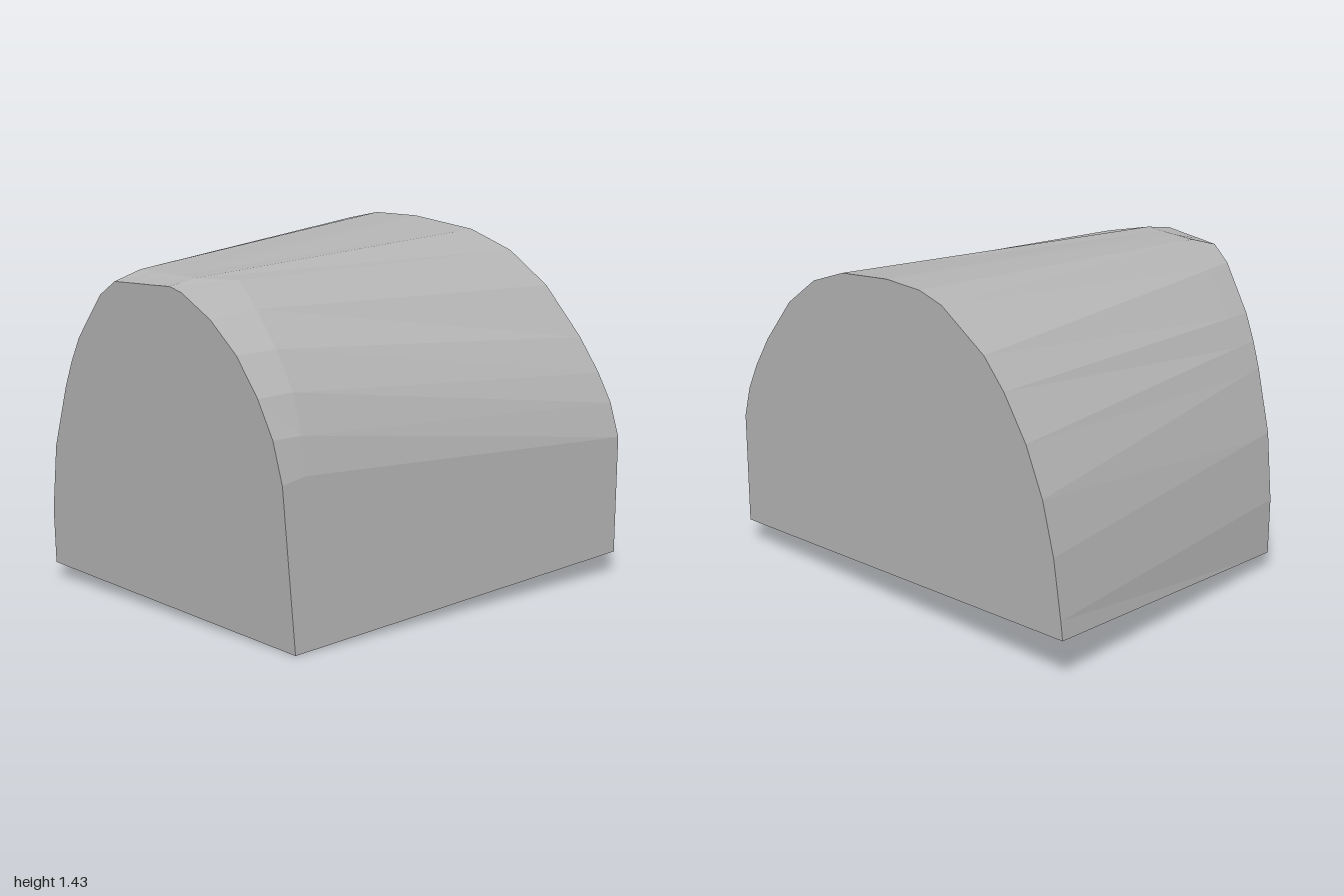
import * as THREE from 'three';

// Matching outline points [x, y], from the lower -x corner over the top to the lower +x corner.
const FRONT = [
  [-0.33, 0.07], [-0.31, 0.31], [-0.25, 0.6], [-0.15, 0.87], [-0.1, 0.98], [-0.04, 1.09],
  [0.11, 1.285], [0.2, 1.35], [0.3, 1.357], [0.4, 1.363], [0.5, 1.37], [0.56, 1.355],
  [0.7, 1.27], [0.82, 1.15], [0.91, 1.0], [0.97, 0.85], [1, 0.68], [1, 0],
];
const BACK = [
  [-1, 0.19], [-0.99, 0.27], [-0.95, 0.52], [-0.89, 0.74], [-0.8, 0.94], [-0.68, 1.12],
  [-0.57, 1.24], [-0.33, 1.39], [-0.2, 1.425], [0, 1.43], [0.28, 1.4], [0.47, 1.33],
  [0.645, 1.2], [0.81, 1.0], [0.9, 0.86], [0.96, 0.74], [1, 0.6], [1, 0.1],
];
// Softened shoulder just behind the front edge, by outline index.
const SHOULDER = {
  7: [0.2, 1.385, 0.84], 8: [0.29, 1.386, 0.82], 9: [0.39, 1.386, 0.8], 10: [0.49, 1.387, 0.78],
  11: [0.56, 1.372, 0.62], 12: [0.7, 1.285, 0.64], 13: [0.83, 1.155, 0.64],
  14: [0.92, 1.005, 0.63], 15: [0.975, 0.85, 0.63], 16: [1, 0.7, 0.63],
};

function meshFrom(name, triangles, material) {
  const geometry = new THREE.BufferGeometry().setFromPoints(triangles);
  geometry.computeVertexNormals();
  const mesh = new THREE.Mesh(geometry, material);
  mesh.name = name;
  return mesh;
}

// Fan over a convex outline.
function cap(points) {
  const triangles = [];
  for (let i = 1; i < points.length - 1; i++) triangles.push(points[0], points[i], points[i + 1]);
  return triangles;
}

export function createModel() {
  const group = new THREE.Group();
  group.name = 'taperedArchBlock';
  const grey = new THREE.MeshStandardMaterial({ color: 0xb4b4b4 });
  grey.name = 'plain grey';

  // Both end faces are slanted planes.
  const front = FRONT.map(([x, y]) =>
    new THREE.Vector3(x, y, 0.95 - 0.203 * (x + 0.33) + 0.09 * (y - 0.07)));
  const back = BACK.map(([x, y]) => new THREE.Vector3(x, y, -0.41 - 0.288 * (x + 1)));
  const shoulder = front.map((p, i) =>
    SHOULDER[i] ? new THREE.Vector3(...SHOULDER[i]) : p.clone().lerp(back[i], 0.08));

  // Arched shell lofted front to back
  const shell = [];
  for (const [near, far] of [[front, shoulder], [shoulder, back]]) {
    for (let i = 0; i < near.length - 1; i++) {
      shell.push(near[i], near[i + 1], far[i + 1], near[i], far[i + 1], far[i]);
    }
  }
  group.add(meshFrom('archedShell', shell, grey));

  // End faces and underside
  group.add(meshFrom('frontFace', cap([...front].reverse()), grey));
  group.add(meshFrom('backFace', cap(back), grey));
  const last = front.length - 1;
  group.add(meshFrom('underside', cap([front[0], back[0], back[last], front[last]]), grey));
  return group;
}
